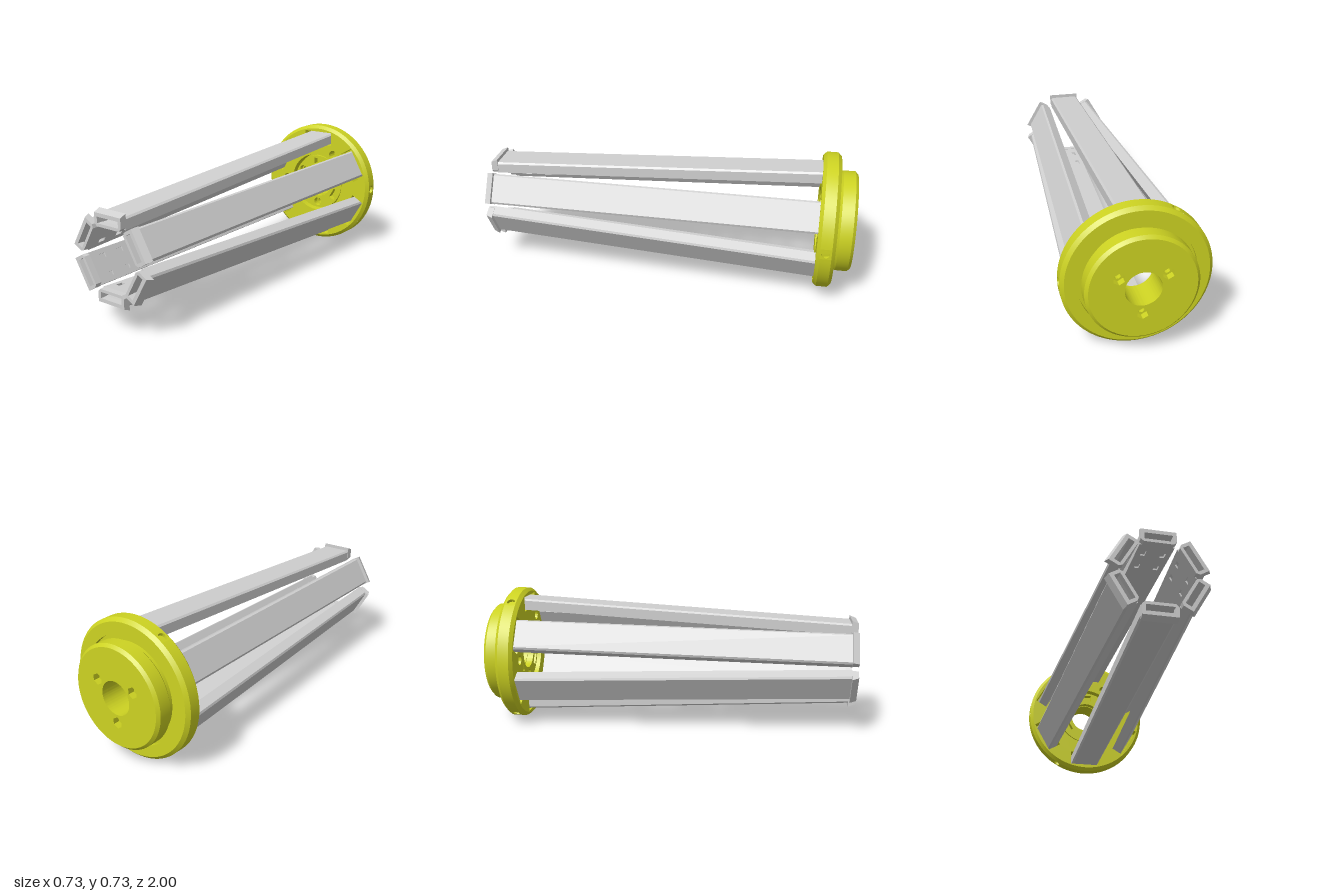
import * as THREE from 'three';
import { toCreasedNormals } from 'three/addons/utils/BufferGeometryUtils.js';

const RAD = Math.PI / 180;
const R = 0.364; // flange radius, also the height of the axis

const yellow = new THREE.MeshStandardMaterial({ color: 0xcdd322 });
yellow.name = 'yellow plastic';
const grey = new THREE.MeshStandardMaterial({ color: 0xd0d0d0 });
grey.name = 'light grey';

function circlePath(r, x = 0, y = 0) {
  return new THREE.Path().absarc(x, y, r, 0, Math.PI * 2, true);
}
function disc(r) {
  return new THREE.Shape().absarc(0, 0, r, 0, Math.PI * 2, false);
}
// polygon from [x, y] pairs, optionally turned about the axis
function poly(points, Type = THREE.Shape, turn = 0) {
  const c = Math.cos(turn), s = Math.sin(turn);
  return new Type(points.map(([x, y]) => new THREE.Vector2(x * c - y * s, x * s + y * c)));
}
function rect(x0, x1, y0, y1) {
  return [[x0, y0], [x1, y0], [x1, y1], [x0, y1]];
}
// round holes (or hexagons) spread on a circle
function polarHoles(r, radius, angles, sides = 0) {
  return angles.map((a) => {
    const x = radius * Math.cos(a * RAD), y = radius * Math.sin(a * RAD);
    if (!sides) return circlePath(r, x, y);
    const pts = [];
    for (let i = 0; i < sides; i++) {
      const t = (i / sides) * Math.PI * 2 + a * RAD;
      pts.push([x + r * Math.cos(t), y + r * Math.sin(t)]);
    }
    return poly(pts, THREE.Path);
  });
}
function extrude(shape, z0, z1, holes = []) {
  shape.holes.push(...holes);
  const g = new THREE.ExtrudeGeometry(shape, { depth: z1 - z0, bevelEnabled: false, curveSegments: 48 });
  return g.translate(0, 0, z0);
}
function add(group, geometry, material, name) {
  const mesh = new THREE.Mesh(toCreasedNormals(geometry, 0.4), material);
  mesh.name = name;
  group.add(mesh);
  return mesh;
}
// profile of [radius, z] pairs, z rising, turned about the z axis
function lathe(points) {
  return new THREE.LatheGeometry(points.map(([r, z]) => new THREE.Vector2(r, z)), 96).rotateX(Math.PI / 2);
}

const ARM_ANGLES = [30, 90, 150, 210, 270, 330];
const BOLTS = [30, 150, 270];

function buildFlange() {
  const g = new THREE.Group();
  g.name = 'flange';

  // front layer with arm sockets and blind screw holes
  const sockets = ARM_ANGLES.map((a) => poly(rect(0.248, 0.327, -0.094, 0.094), THREE.Path, a * RAD));
  const screws = polarHoles(0.026, 0.222, [60, 180, 300]);
  add(g, extrude(disc(0.346), -0.875, -0.81, [circlePath(0.18), ...sockets, ...screws]), yellow, 'flangeFace');
  add(g, extrude(disc(0.346), -0.885, -0.875, [circlePath(0.17)]), yellow, 'socketFloor');
  add(g, extrude(disc(0.346), -0.905, -0.885, [circlePath(0.285)]), yellow, 'flangeBack');

  // chamfered rim edges
  add(g, lathe([[0.346, -0.905], [R, -0.887]]), yellow, 'rimChamferBack');
  add(g, lathe([[R, -0.828], [0.346, -0.81]]), yellow, 'rimChamferFront');

  // rim wall in three arcs, joined by flat patches with a set screw hole
  const half = 4.5;
  for (const a of [0, 120, 240]) {
    const arc = new THREE.CylinderGeometry(R, R, 0.059, 36, 1, true,
      (a + half + 90) * RAD, (120 - 2 * half) * RAD);
    add(g, arc.rotateX(Math.PI / 2).translate(0, 0, -0.8575), yellow, 'rimWall');

    const w = R * Math.sin(half * RAD);
    const patch = extrude(poly(rect(-0.0295, 0.0295, -w, w)), -0.016, 0, [circlePath(0.021)]);
    patch.rotateY(Math.PI / 2).translate(R * Math.cos(half * RAD), 0, -0.8575).rotateZ(a * RAD);
    add(g, patch, yellow, 'setScrewHole');
  }
  return g;
}

function buildHub() {
  const g = new THREE.Group();
  g.name = 'hub';
  // front of the hub with small square pockets and bolt recesses
  const pockets = [90, 210, 330].map((a) => poly(rect(0.115, 0.152, -0.033, 0.033), THREE.Path, a * RAD));
  add(g, extrude(disc(0.168), -0.865, -0.83,
    [circlePath(0.092), ...pockets, ...polarHoles(0.025, 0.132, BOLTS)]), yellow, 'hubFace');
  add(g, extrude(disc(0.176), -0.965, -0.865,
    [circlePath(0.088), ...polarHoles(0.017, 0.132, BOLTS)]), yellow, 'hubCore');
  add(g, lathe([[0.25, -0.91], [0.25, -0.885]]), yellow, 'neck');

  // rear disc with hexagonal nut pockets
  add(g, extrude(disc(0.255), -1, -0.965,
    [circlePath(0.088), ...polarHoles(0.03, 0.132, BOLTS, 6)]), yellow, 'rearDisc');
  add(g, lathe([[0.255, -1], [0.27, -0.985], [0.27, -0.921], [0.255, -0.906], [0.17, -0.906]]), yellow, 'rearDiscRim');
  return g;
}

// lean an arm part outwards towards the flange
function lean(geometry) {
  const p = geometry.attributes.position;
  for (let i = 0; i < p.count; i++) p.setY(i, p.getY(i) + 0.155 + (1 - p.getZ(i)) * 0.0552);
  geometry.computeVertexNormals();
  return geometry;
}

function buildArm() {
  const g = new THREE.Group();
  const W = 0.083, H = 0.06, T = 0.009, Z0 = -0.873, Z1 = 0.968;

  // hollow channel with chamfered outer edges
  const channel = poly([[-W, 0], [-W + T, 0], [-W + T, H - 0.014], [W - T, H - 0.014], [W - T, 0], [W, 0],
    [W, H - 0.009], [W - 0.009, H], [-W + 0.009, H], [-W, H - 0.009]]);
  add(g, lean(extrude(channel, Z0, Z1)), grey, 'armChannel');

  // inner plate with small slots near the tip
  const slots = [];
  for (const x of [-0.047, 0.047])
    for (const z of [0.77, 0.89])
      slots.push(poly(rect(x - 0.011, x + 0.011, z - 0.02, z + 0.02), THREE.Path));
  const plate = extrude(poly(rect(-W + T, W - T, Z0, Z1)), -0.008, 0, slots);
  plate.rotateX(Math.PI / 2); // length along z, thickness along y
  add(g, lean(plate), grey, 'armInnerPlate');

  // tip frame with a window, its outer lip sloping to the front
  const C = 0.085, c = 0.014;
  const frame = extrude(
    poly([[-C + c, 0.155], [C - c, 0.155], [C, 0.155 + c], [C, 0.236], [-C, 0.236], [-C, 0.155 + c]]),
    0.965, 1, [poly(rect(-0.068, 0.068, 0.17, 0.202), THREE.Path)]);
  const p = frame.attributes.position;
  for (let i = 0; i < p.count; i++)
    if (p.getZ(i) > 0.99 && p.getY(i) > 0.23) p.setY(i, 0.221);
  frame.computeVertexNormals();
  add(g, frame, grey, 'armTipFrame');
  return g;
}

export function createModel() {
  const model = new THREE.Group();
  model.name = 'sixArmHolder';
  model.add(buildFlange(), buildHub());
  ARM_ANGLES.forEach((a, i) => {
    const arm = buildArm();
    arm.name = 'arm' + (i + 1);
    arm.rotation.z = (a - 90) * RAD;
    model.add(arm);
  });
  for (const part of model.children) part.position.y = R;
  return model;
}
